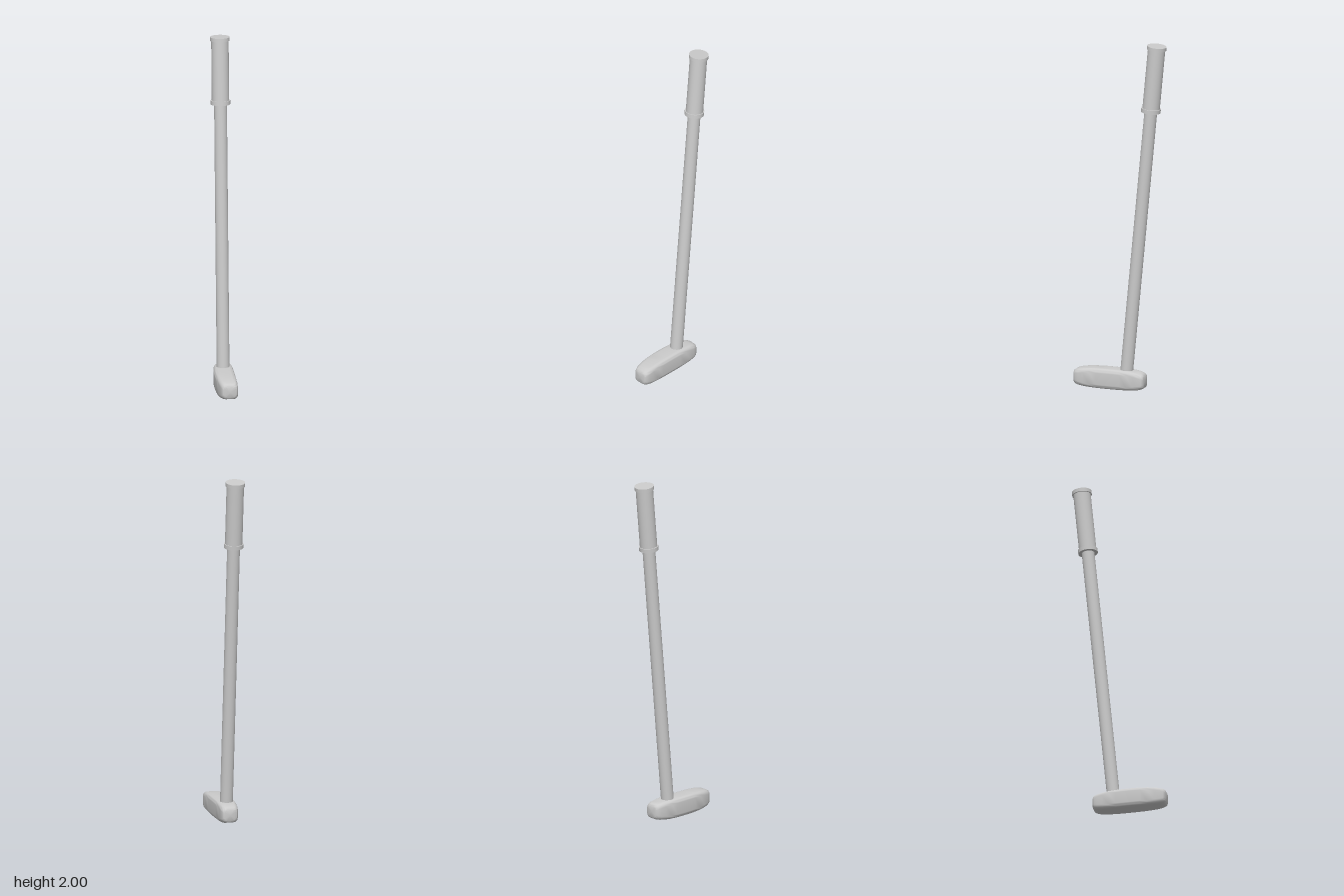
import * as THREE from 'three';
import { toCreasedNormals } from 'three/addons/utils/BufferGeometryUtils.js';

const material = new THREE.MeshStandardMaterial({ color: 0xcccccc });

function add(parent, name, geometry) {
  const mesh = new THREE.Mesh(geometry, material);
  mesh.name = name;
  parent.add(mesh);
  return mesh;
}

// Rounded rectangle in xy, counterclockwise as seen from +z
function section(xMin, xMax, halfHeight, z) {
  const r = Math.min(0.024, halfHeight * 0.6), steps = 5, points = [];
  const corners = [[xMax, 1, 1], [xMin, -1, 1], [xMin, -1, -1], [xMax, 1, -1]];
  corners.forEach(([x, sx, sy], k) => {
    for (let i = 0; i <= steps; i++) {
      const a = (k + i / steps) * Math.PI / 2;
      points.push([x - sx * r + r * Math.cos(a), sy * (halfHeight - r) + r * Math.sin(a), z]);
    }
  });
  return points;
}

// Head: rounded sections lofted along z, flat striking side on +x, bulging on -x
function headGeometry() {
  const half = [ // z offset, xMin, xMax, half height
    [0.03, -0.058, 0.057, 0.0575], [0.07, -0.0565, 0.057, 0.057],
    [0.11, -0.0535, 0.057, 0.0555], [0.15, -0.048, 0.057, 0.0525],
    [0.18, -0.042, 0.0565, 0.048], [0.198, -0.0355, 0.053, 0.043],
    [0.207, -0.029, 0.048, 0.037], [0.21, -0.021, 0.042, 0.031],
  ];
  const stations = [...half.map(([z, ...s]) => [-z, ...s]).reverse(), ...half];
  const loops = stations.map(([z, a, b, h]) => section(a, b, h, z));
  const n = loops[0].length, last = loops.length - 1;
  const positions = loops.flat(2), index = [];
  for (let i = 0; i < last; i++) {
    for (let j = 0; j < n; j++) {
      const k = (j + 1) % n, a = i * n, b = a + n;
      index.push(a + j, a + k, b + k, a + j, b + k, b + j);
    }
  }
  // End caps
  const back = positions.length / 3, front = back + 1;
  positions.push(0.01, 0, -0.21, 0.01, 0, 0.21);
  for (let j = 0; j < n; j++) {
    const k = (j + 1) % n;
    index.push(back, k, j, front, last * n + j, last * n + k);
  }
  const geometry = new THREE.BufferGeometry();
  geometry.setAttribute('position', new THREE.Float32BufferAttribute(positions, 3));
  geometry.setIndex(index);
  return toCreasedNormals(geometry, 0.8);
}

export function createModel() {
  const model = new THREE.Group();
  model.name = 'golfPutter';

  add(model, 'head', headGeometry()).position.set(0, 0.0575, 0.06);

  // Shaft and grip share one axis that leans back
  const stick = new THREE.Group();
  stick.name = 'stick';
  stick.position.set(0, 0.115, -0.036);
  stick.rotation.x = -Math.atan2(0.181, 1.88);
  model.add(stick);

  const rod = (name, radius, from, to) => {
    add(stick, name, new THREE.CylinderGeometry(radius, radius, to - from, 40)).position.y = (from + to) / 2;
  };
  rod('shaft', 0.036, -0.04, 1.52);
  rod('grip', 0.049, 1.505, 1.88);
  rod('gripLowerRing', 0.055, 1.503, 1.526);
  rod('gripTopCap', 0.055, 1.868, 1.8885);

  return model;
}
